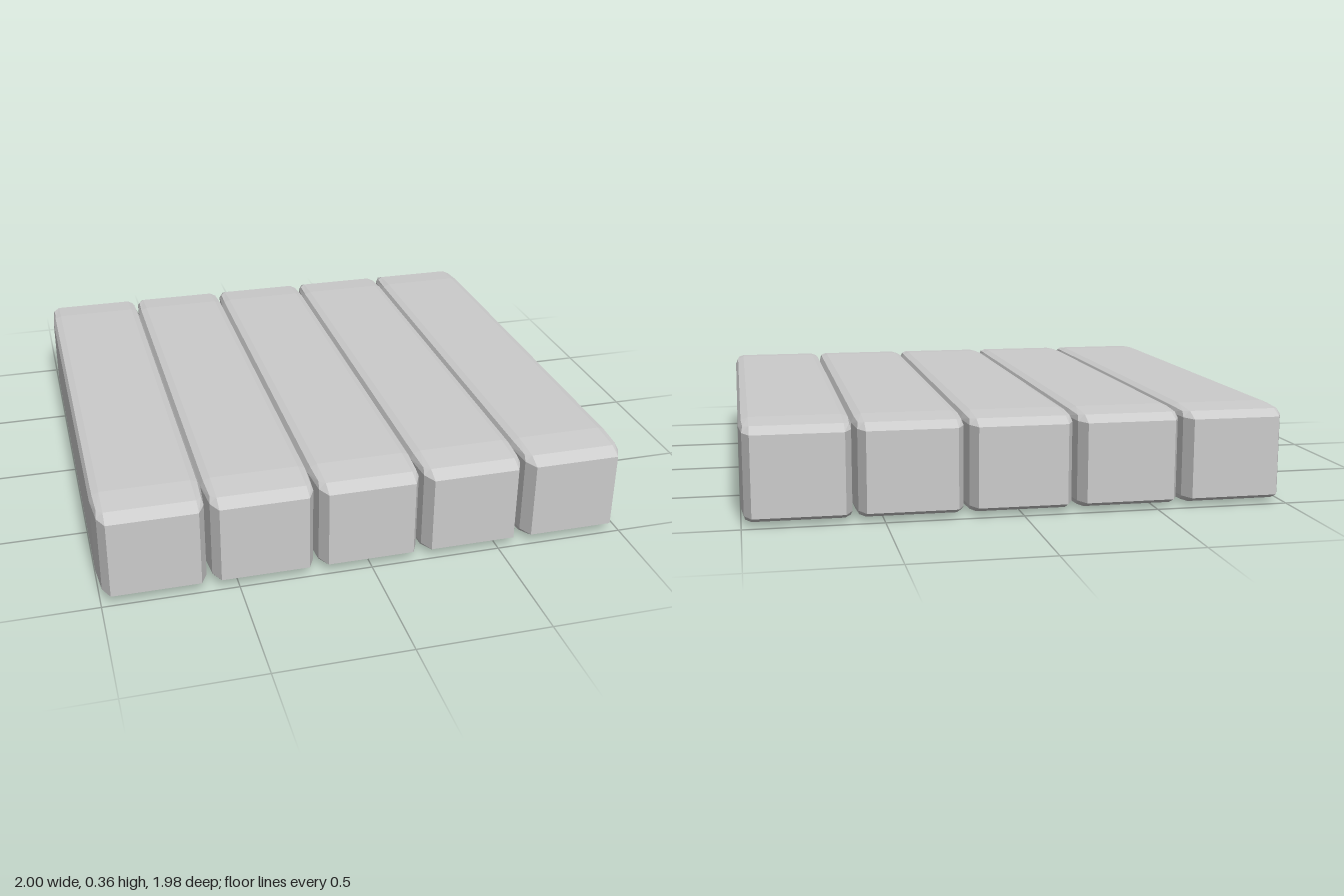
import * as THREE from 'three';
import { RoundedBoxGeometry } from 'three/addons/geometries/RoundedBoxGeometry.js';

const COUNT = 5;
const WIDTH = 0.4, HEIGHT = 0.36, LENGTH = 1.98;

export function createModel() {
  const group = new THREE.Group();
  group.name = 'plankPlatform';
  const material = new THREE.MeshStandardMaterial({ color: 0xcccccc, flatShading: true });

  // A two-step bevelled cube stretched into a beam, so the bevel is longest along z
  const beam = new RoundedBoxGeometry(1, 1, 1, 1, 0.09);
  beam.scale(WIDTH, HEIGHT, LENGTH);
  beam.translate(0, HEIGHT / 2, 0);

  // Beams laid side by side
  for (let i = 0; i < COUNT; i++) {
    const mesh = new THREE.Mesh(beam, material);
    mesh.name = `plank${i + 1}`;
    mesh.position.x = (i - (COUNT - 1) / 2) * WIDTH;
    group.add(mesh);
  }
  return group;
}
